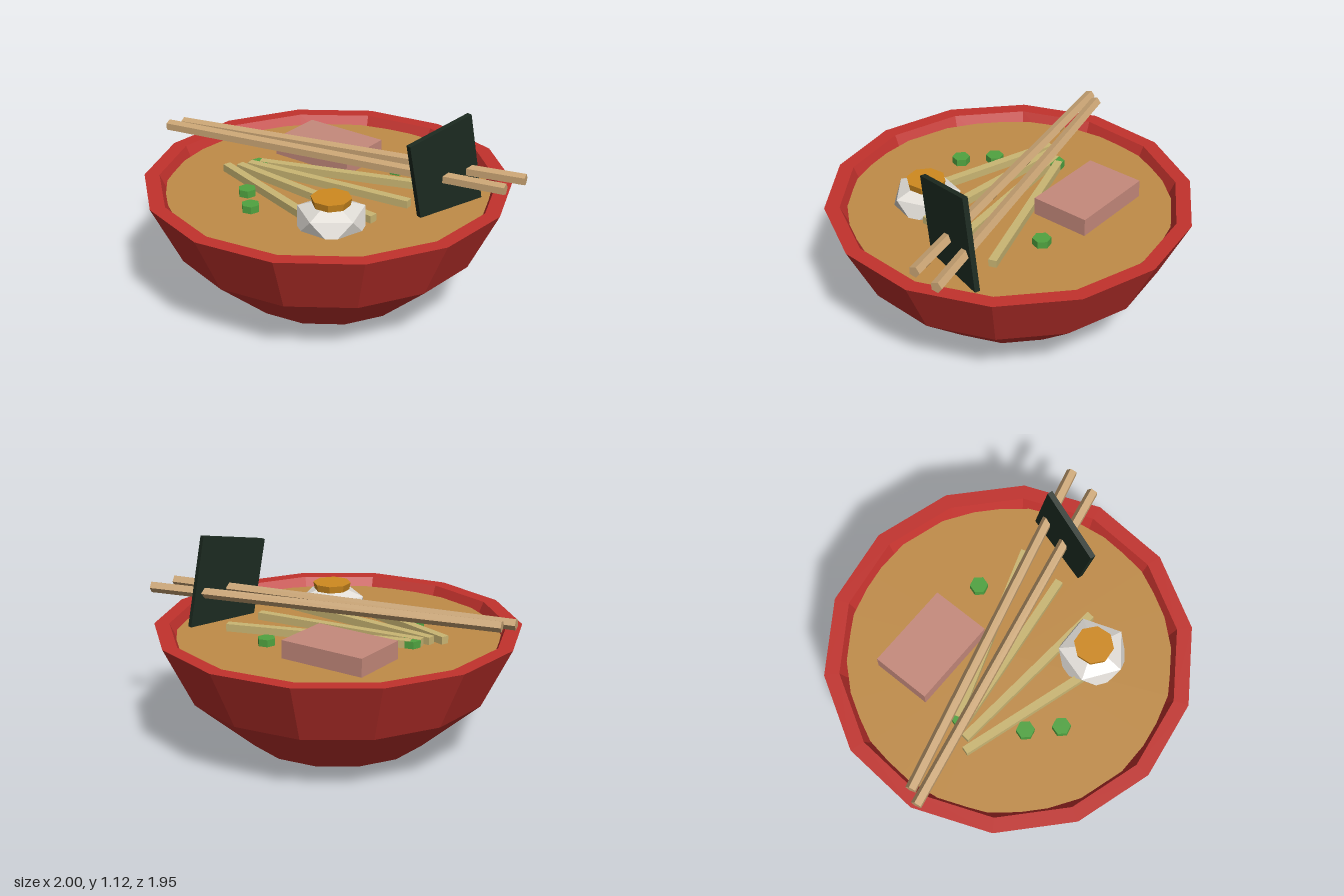
import * as THREE from 'three';

const material = (name, color) => {
  const m = new THREE.MeshStandardMaterial({ color, flatShading: true });
  m.name = name;
  return m;
};

export function createModel() {
  const group = new THREE.Group();
  const red = material('lacquer red', 0xc2322d);
  const broth = material('broth brown', 0xc08c48);
  const pink = material('meat pink', 0xc68a7c);
  const cream = material('noodle cream', 0xcab673);
  const wood = material('wood tan', 0xc9a474);
  const white = material('egg white', 0xe2ded8);
  const orange = material('yolk orange', 0xcf8a1f);
  const green = material('onion green', 0x50a340);
  const dark = material('seaweed dark green', 0x1c2a20);

  const add = (name, geometry, mat, x = 0, y = 0, z = 0) => {
    const mesh = new THREE.Mesh(geometry, mat);
    mesh.name = name;
    mesh.position.set(x, y, z);
    group.add(mesh);
    return mesh;
  };
  // Place a part that lies along +x between two points given as [x, z]
  const lay = (mesh, [x0, z0], [x1, z1], y) => {
    mesh.position.set((x0 + x1) / 2, y, (z0 + z1) / 2);
    mesh.rotation.y = Math.atan2(z0 - z1, x1 - x0);
  };
  const span = (a, b) => Math.hypot(b[0] - a[0], b[1] - a[1]);

  // Faceted bowl with a thick rim and an inner wall
  const profile = [[0, 0], [0.34, 0], [0.5, 0.042], [0.835, 0.335], [1, 0.67],
    [0.918, 0.67], [0.78, 0.37], [0.46, 0.11], [0, 0.08]];
  const bowl = new THREE.LatheGeometry(profile.map(p => new THREE.Vector2(...p)), 14);
  add('bowl', bowl.rotateY(Math.PI / 2), red);

  // Broth surface
  const disc = new THREE.CylinderGeometry(0.883, 0.875, 0.02, 22);
  add('broth', disc.rotateY(Math.PI / 2), broth, 0, 0.61, 0);

  // Meat slice
  add('meatSlice', new THREE.BoxGeometry(0.497, 0.12, 0.334), pink, -0.335, 0.66, -0.2525)
    .rotation.y = 0.297;

  // Noodles
  const noodles = [
    [[-0.5, 0.33], [0.42, 0.33]],
    [[-0.46, 0.27], [0.49, 0.065]],
    [[-0.45, 0.21], [0.46, -0.195]],
    [[-0.43, 0.15], [0.405, -0.45]],
  ];
  for (const [a, b] of noodles) {
    lay(add('noodle', new THREE.BoxGeometry(span(a, b), 0.05, 0.045), cream), a, b, 0.637);
  }

  // Egg half: squashed twenty-sided solid standing on a pole, built from its two rings
  const ring = (y, turn) => Array.from({ length: 5 }, (_, i) => {
    const a = (i * 2 + turn) * Math.PI / 5;
    return [0.185 * Math.cos(a), y, 0.185 * Math.sin(a)];
  });
  const points = [[0, 0.125, 0], ...ring(0.056, 0), ...ring(-0.056, 1), [0, -0.125, 0]];
  const faces = [];
  for (let i = 0; i < 5; i++) {
    const j = (i + 1) % 5, u = 1 + i, v = 1 + j, p = 6 + i, q = 6 + j;
    faces.push(0, v, u, u, v, p, v, q, p, p, q, 11);
  }
  const egg = new THREE.BufferGeometry();
  egg.setAttribute('position', new THREE.Float32BufferAttribute(points.flat(), 3));
  egg.setIndex(faces);
  const eggFlat = egg.toNonIndexed();
  eggFlat.computeVertexNormals();
  add('eggWhite', eggFlat, white, 0.375, 0.643, 0.25);
  add('eggYolk', new THREE.CylinderGeometry(0.108, 0.1, 0.04, 8), orange, 0.375, 0.752, 0.25);

  // Chopped onion pieces
  for (const [x, z] of [[0.08, -0.42], [-0.17, 0.41], [0, 0.5], [-0.42, 0.165]]) {
    add('onionPiece', new THREE.CylinderGeometry(0.05, 0.05, 0.045, 6), green, x, 0.637, z);
  }

  // Five-sided chopsticks resting across the rim
  const sticks = [
    [[-0.86, 0.388], [0.852, -0.65]],
    [[-0.88, 0.472], [0.877, -0.485]],
  ];
  for (const [a, b] of sticks) {
    const stick = new THREE.CylinderGeometry(0.032, 0.032, span(a, b), 5, 1, false, Math.PI);
    lay(add('chopstick', stick.rotateZ(-Math.PI / 2), wood), a, b, 0.8);
  }

  // Seaweed sheet
  add('seaweedSheet', new THREE.BoxGeometry(0.03, 0.52, 0.413), dark, 0.58, 0.825, -0.333)
    .rotation.x = 0.197;

  return group;
}
